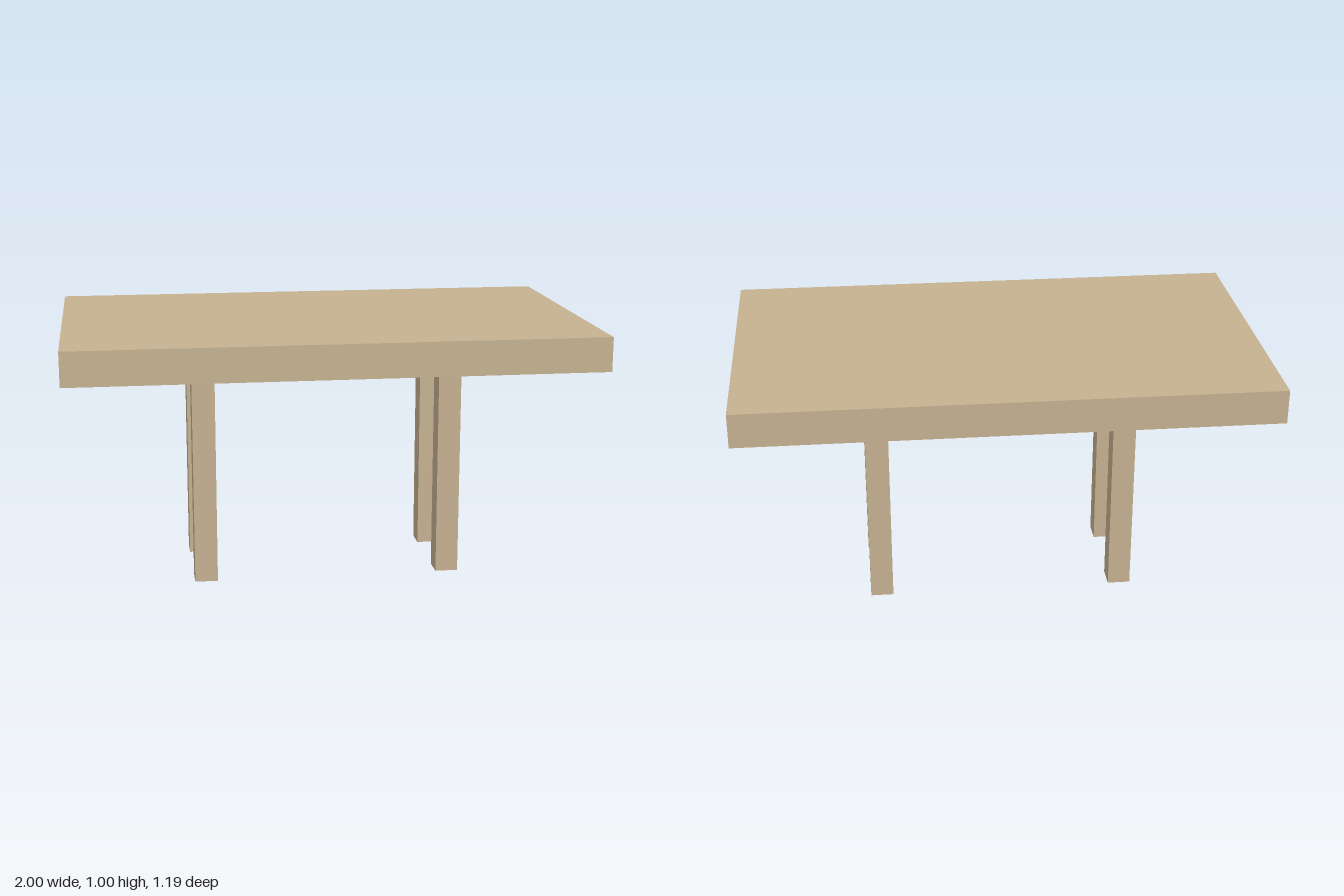
import * as THREE from 'three';

export function createModel() {
  const table = new THREE.Group();
  table.name = 'table';
  const wood = new THREE.MeshStandardMaterial({ color: 0xc6b291 });
  wood.name = 'light wood';

  // Box given by its size, its centre in x and z, and its bottom height
  function box(name, w, h, d, x, y, z) {
    const mesh = new THREE.Mesh(new THREE.BoxGeometry(w, h, d), wood);
    mesh.name = name;
    mesh.position.set(x, y + h / 2, z);
    table.add(mesh);
  }

  const underside = 0.87;
  const stripHeight = 0.007;

  // Thick slab top
  box('tableTop', 2, 1 - underside, 1.194, 0, underside, 0);

  for (const s of [-1, 1]) {
    // Thin strips under the top, lengthwise and crosswise
    box('longStrip', 1.76, stripHeight, 0.023, 0, underside - stripHeight, s * 0.127);
    box('crossStrip', 0.023, stripHeight, 1.08, s * 0.494, underside - stripHeight, 0);

    // Square legs
    for (const t of [-1, 1]) {
      box('leg', 0.088, underside, 0.09, s * 0.477, 0, t * 0.184);
    }
  }

  return table;
}
